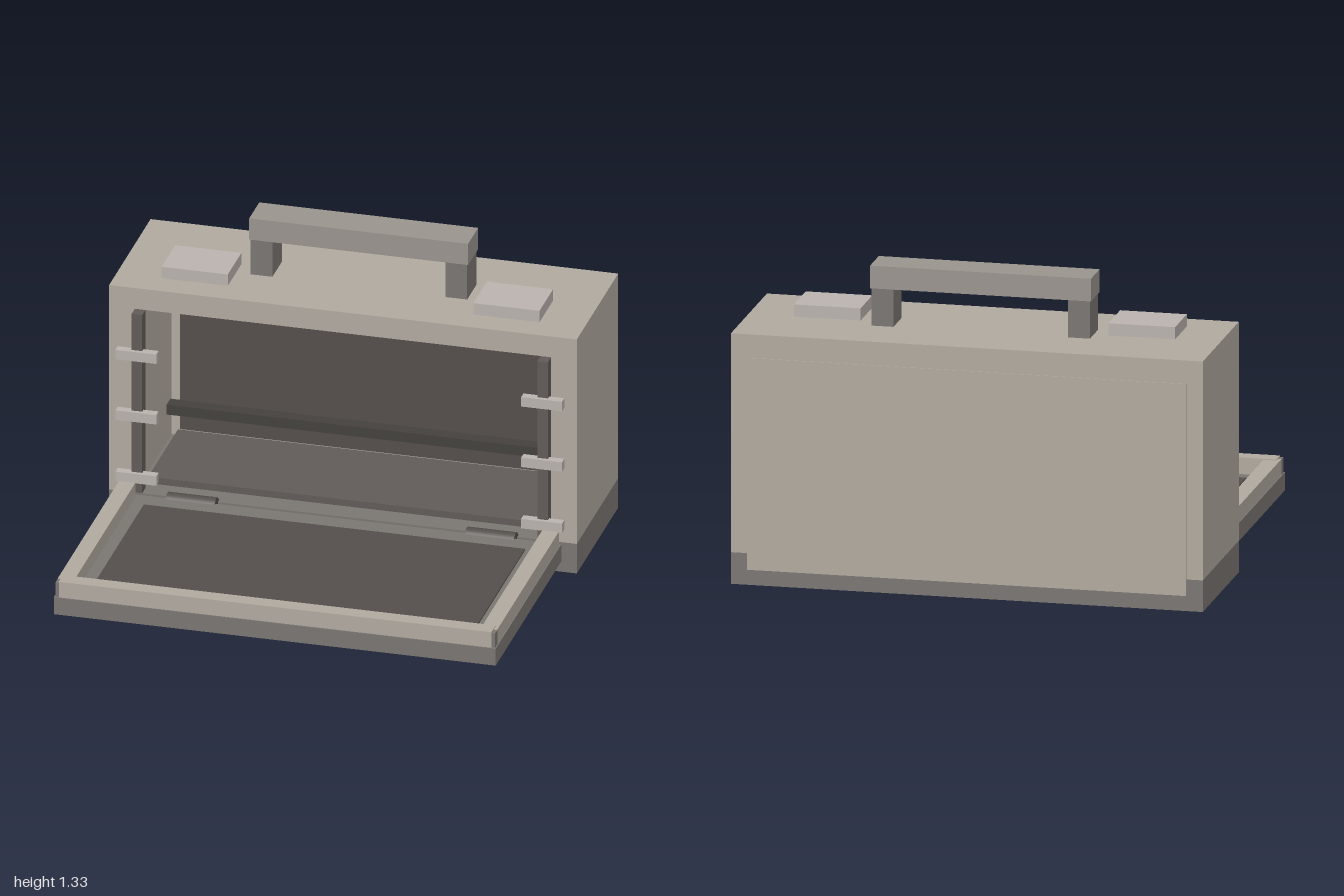
import * as THREE from 'three';

const mat = (color) => new THREE.MeshStandardMaterial({ color, flatShading: true });

export function createModel() {
  const model = new THREE.Group();
  const shell = mat(0xb3aba1), base = mat(0x7c7773), dark = mat(0x55504c);
  const track = mat(0x625d59), pale = mat(0xbcb5b0), grip = mat(0x9c9690), rod = mat(0x45423f);

  const add = (name, geometry, material) => {
    const mesh = new THREE.Mesh(geometry, material);
    mesh.name = name;
    model.add(mesh);
    return mesh;
  };
  // Box from its lower and upper limits on each axis
  const box = (name, material, [x0, x1], [y0, y1], [z0, z1]) => {
    const g = new THREE.BoxGeometry(x1 - x0, y1 - y0, z1 - z0);
    g.translate((x0 + x1) / 2, (y0 + y1) / 2, (z0 + z1) / 2);
    return add(name, g, material);
  };
  // The same box on both sides
  const pair = (name, material, [x0, x1], y, z) => {
    box(name + 'Left', material, [x0, x1], y, z);
    box(name + 'Right', material, [-x1, -x0], y, z);
  };

  // Case: base slab, walls with an open front, back wall
  box('baseSlab', base, [-1, 1], [0, 0.135], [-0.865, -0.21]);
  const arch = new THREE.Shape([
    [-1, 0.135], [-0.89, 0.135], [-0.89, 0.975], [0.89, 0.975],
    [0.89, 0.135], [1, 0.135], [1, 1.07], [-1, 1.07],
  ].map(([x, y]) => new THREE.Vector2(x, y)));
  const walls = new THREE.ExtrudeGeometry(arch, { depth: 0.655, bevelEnabled: false });
  walls.translate(0, 0, -0.865);
  add('caseWalls', walls, shell);
  box('backWall', shell, [-0.89, 0.89], [0.135, 0.975], [-0.865, -0.79]);
  box('rearCover', shell, [-0.93, 0.93], [0.065, 0.97], [-0.869, -0.864]);

  // Interior
  box('innerBackPanel', dark, [-0.85, 0.85], [0.17, 0.935], [-0.792, -0.775]);
  box('innerFloor', track, [-0.86, 0.86], [0.13, 0.165], [-0.78, -0.31]);
  box('crossBar', rod, [-0.83, 0.83], [0.37, 0.415], [-0.55, -0.49]);

  // Front posts with clips
  pair('frontPost', track, [0.845, 0.89], [0.16, 0.975], [-0.215, -0.16]);
  for (const y of [0.21, 0.49, 0.767]) {
    pair('clip', pale, [0.78, 0.955], [y, y + 0.043], [-0.18, -0.143]);
  }

  // Carrying handle and top pads
  pair('handlePost', base, [0.37, 0.463], [1.07, 1.28], [-0.613, -0.462]);
  box('handleBar', grip, [-0.468, 0.468], [1.23, 1.327], [-0.617, -0.458]);
  pair('topPad', pale, [0.525, 0.808], [1.07, 1.122], [-0.545, -0.33]);

  // Lowered door with raised rim and inset panel
  box('doorSlab', base, [-0.945, 0.945], [0.068, 0.145], [-0.172, 0.868]);
  pair('doorSideRim', shell, [0.87, 0.94], [0.145, 0.212], [-0.148, 0.825]);
  box('doorFrontRim', shell, [-0.925, 0.925], [0.145, 0.216], [0.795, 0.863]);
  pair('doorCorner', base, [0.925, 0.94], [0.145, 0.21], [0.825, 0.86]);
  box('doorInset', dark, [-0.815, 0.815], [0.14, 0.152], [-0.075, 0.72]);

  // Hinge barrels
  for (const s of [-1, 1]) {
    const barrel = add('hingeBarrel', new THREE.CylinderGeometry(0.042, 0.042, 0.21, 16), mat(0x55504c));
    barrel.material.flatShading = false;
    barrel.rotation.z = Math.PI / 2;
    barrel.position.set(0.64 * s, 0.12, -0.19);
  }
  return model;
}
